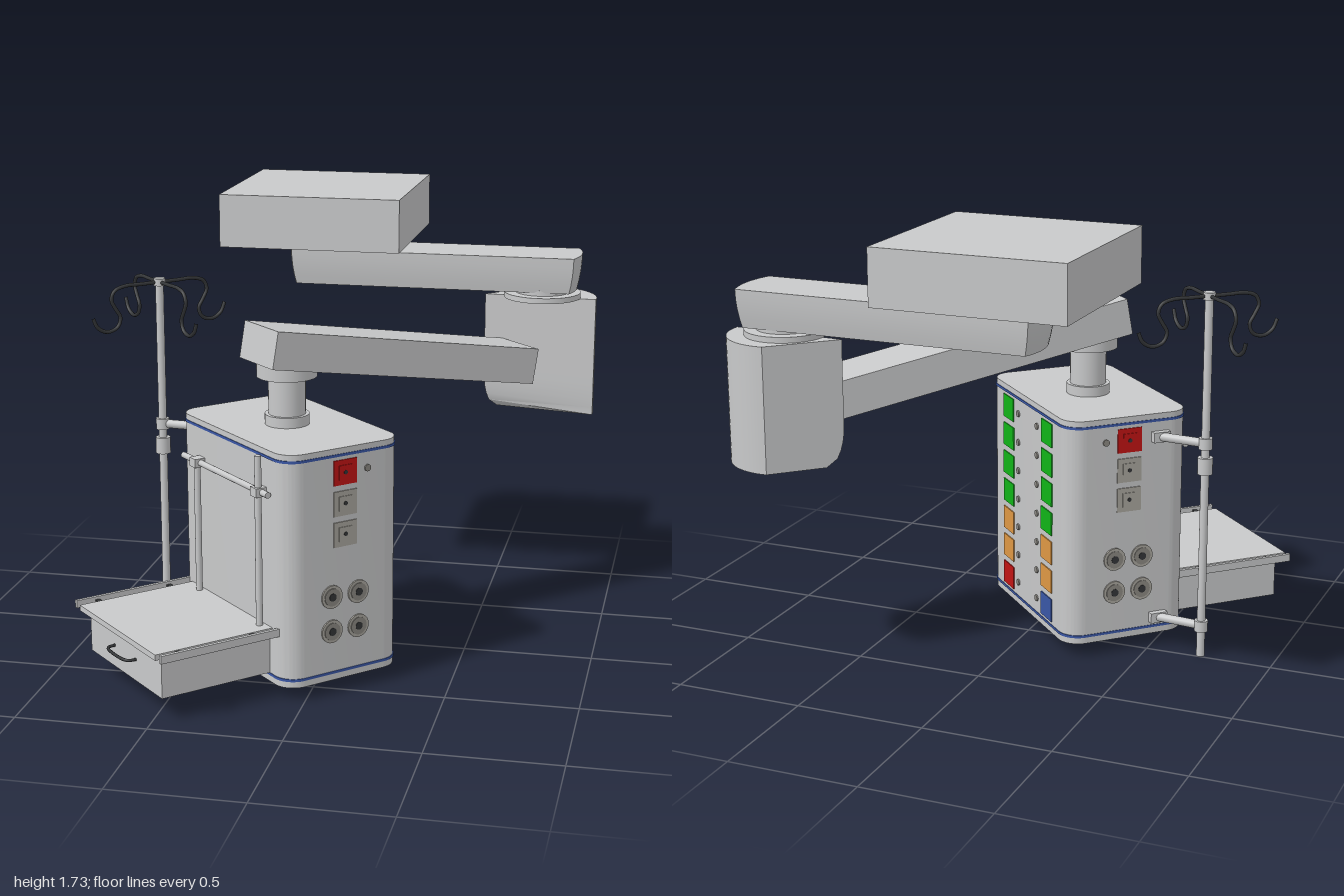
import * as THREE from 'three';
import { toCreasedNormals } from 'three/addons/utils/BufferGeometryUtils.js';

const mat = (name, color) => {
  const m = new THREE.MeshStandardMaterial({ color });
  m.name = name;
  return m;
};

export function createModel() {
  const grey = mat('body grey', 0xc8c9ca);
  const outletGrey = mat('outlet grey', 0xaaa79f);
  const gaugeGrey = mat('gauge grey', 0x8c8983);
  const dark = mat('dark grey', 0x343638);
  const blue = mat('blue', 0x3a57a6);
  const red = mat('red', 0xc21414);
  const green = mat('green', 0x10b418);
  const orange = mat('orange', 0xdf9844);

  const model = new THREE.Group();
  model.name = 'ceilingSupplyPendant';
  // Cabinet, lower arm and tray share a frame turned 45 degrees
  const turned = new THREE.Group();
  turned.name = 'turnedAssembly';
  turned.rotation.y = Math.PI / 4;
  model.add(turned);

  const V = (x, y, z) => new THREE.Vector3(x, y, z);
  const add = (parent, name, geo, material, x = 0, y = 0, z = 0) => {
    const m = new THREE.Mesh(geo, material);
    m.name = name;
    m.position.set(x, y, z);
    parent.add(m);
    return m;
  };
  const box = (parent, name, material, w, h, d, x, y, z) =>
    add(parent, name, new THREE.BoxGeometry(w, h, d), material, x, y, z);
  const disc = (parent, name, material, r, y0, y1, x, z, seg = 32) =>
    add(parent, name, new THREE.CylinderGeometry(r, r, y1 - y0, seg), material, x, (y0 + y1) / 2, z);
  const rod = (parent, name, material, a, b, r) => {
    const m = add(parent, name, new THREE.CylinderGeometry(r, r, a.distanceTo(b), 14), material);
    m.position.copy(a).add(b).multiplyScalar(0.5);
    m.quaternion.setFromUnitVectors(V(0, 1, 0), b.clone().sub(a).normalize());
    return m;
  };
  // Upright prism over a plan outline
  const prism = (shape, h, steps = 1, rule) => {
    const g = new THREE.ExtrudeGeometry(shape, { depth: h, steps, bevelEnabled: false, curveSegments: 10 });
    g.rotateX(-Math.PI / 2);
    if (rule) {
      const p = g.attributes.position, v = V(0, 0, 0);
      for (let i = 0; i < p.count; i++) {
        rule(v.fromBufferAttribute(p, i));
        p.setXYZ(i, v.x, v.y, v.z);
      }
    }
    return toCreasedNormals(g, 0.55);
  };
  const roundRect = (w, d, r) => {
    const s = new THREE.Shape(), a = w / 2 - r, b = d / 2 - r;
    s.absarc(a, b, r, 0, Math.PI / 2);
    s.absarc(-a, b, r, Math.PI / 2, Math.PI);
    s.absarc(-a, -b, r, Math.PI, Math.PI * 1.5);
    s.absarc(a, -b, r, Math.PI * 1.5, Math.PI * 2);
    s.closePath();
    return s;
  };

  // Ceiling mount and its neck
  box(model, 'ceilingBox', grey, 0.725, 0.21, 0.725, -0.187, 1.625, -0.637);
  disc(model, 'ceilingNeck', grey, 0.105, 1.495, 1.52, -0.187, -0.635);
  disc(model, 'ceilingNeckRing', grey, 0.085, 1.47, 1.5, -0.187, -0.635);

  // Upper arm: bowed ends, narrowing towards the underside
  const plan = new THREE.Shape();
  plan.moveTo(-0.575, -0.125);
  plan.lineTo(0.575, -0.125);
  plan.quadraticCurveTo(0.62, 0, 0.575, 0.125);
  plan.lineTo(-0.575, 0.125);
  plan.quadraticCurveTo(-0.62, 0, -0.575, -0.125);
  add(model, 'upperArm', prism(plan, 0.145, 4, (v) => {
    const t = Math.pow(1 - v.y / 0.145, 2);
    v.z *= 1 - 0.12 * t;
    v.x *= 1 - 0.03 * t;
  }), grey, 0.263, 1.335, -0.635);

  // Elbow column: flat towards the arm, round behind, softened lower edge
  const cu = 0.945, cv = 0.05;
  const half = Math.asin(0.17 / 0.22);
  const foot = new THREE.Shape();
  foot.moveTo(-0.16, -0.17);
  foot.absarc(0, 0, 0.22, -half, half);
  foot.lineTo(-0.16, 0.17);
  foot.closePath();
  add(turned, 'elbowColumn', prism(foot, 0.48, 16, (v) => {
    const k = Math.max(0, (0.15 - v.y) / 0.15);
    v.x = Math.max(v.x, -0.16 + 0.07 * (1 - Math.sqrt(1 - k * k)));
  }), grey, cu, 0.82, cv);
  disc(turned, 'elbowFlange', grey, 0.155, 1.3, 1.322, cu, cv);
  disc(turned, 'elbowNeck', grey, 0.11, 1.32, 1.345, cu, cv);

  // Sloping lower arm
  const slope = Math.atan(0.181);
  const arm = box(turned, 'lowerArm', grey, 1.24, 0.143, 0.24, 0.214, 1.158, cv);
  arm.rotation.z = -slope;

  // Cabinet with top and bottom stripes
  const cab = { u: -0.274, v: 0.055, w: 0.51, d: 0.786 };
  const slab = (name, m, grow, y0, y1) =>
    add(turned, name, prism(roundRect(cab.w + grow, cab.d + grow, 0.08), y1 - y0), m, cab.u, y0, cab.v);
  slab('cabinetBody', grey, 0, 0.055, 0.95);
  slab('lowerStripe', blue, 0.005, 0.08, 0.09);
  slab('upperStripe', blue, 0.005, 0.918, 0.928);

  // Post between cabinet and lower arm
  disc(turned, 'postBase', grey, 0.085, 0.95, 0.99, cab.u, cv);
  disc(turned, 'post', grey, 0.071, 0.99, 1.15, cab.u, cv);
  disc(turned, 'postCollar', grey, 0.115, 1.135, 1.19, cab.u, cv);

  // End panels: switch, sockets and gas outlets on both short sides
  for (const s of [1, -1]) {
    const panel = new THREE.Group();
    panel.name = s > 0 ? 'frontPanel' : 'rearPanel';
    panel.position.set(cab.u, 0, cab.v + s * cab.d / 2);
    turned.add(panel);
    const knob = (name, m, r, len, x, y) => {
      const k = add(panel, name, new THREE.CylinderGeometry(r, r, len, 24), m, x, y, 0);
      k.rotation.x = Math.PI / 2;
    };
    [red, outletGrey, outletGrey].forEach((m, i) => {
      const y = 0.857 - i * 0.118;
      box(panel, 'socketFrame', m, 0.1, 0.095, 0.008, 0, y, 0);
      box(panel, 'socketInset', m, 0.056, 0.055, 0.014, 0, y, 0);
      knob('socketHole', dark, 0.008, 0.017, 0, y);
    });
    knob('indicator', gaugeGrey, 0.013, 0.012, 0.098, 0.857);
    for (const x of [-0.058, 0.058]) for (const y of [0.25, 0.385]) {
      knob('gasOutletRing', outletGrey, 0.045, 0.012, x, y);
      knob('gasOutletFace', gaugeGrey, 0.034, 0.018, x, y);
      knob('gasOutletCore', dark, 0.015, 0.022, x, y);
    }
  }

  // Back panel: two columns of coloured sockets with indicators
  const backU = cab.u + cab.w / 2;
  for (const s of [1, -1]) for (let i = 0; i < 7; i++) {
    const y = 0.86 - i * 0.1185;
    const m = i < 4 ? green : i < 6 ? orange : s > 0 ? red : blue;
    box(turned, 'backSocket', m, 0.009, 0.093, 0.104, backU, y, cab.v + s * 0.194);
    const dot = add(turned, 'backIndicator', new THREE.CylinderGeometry(0.013, 0.013, 0.012, 16),
      gaugeGrey, backU, y, cab.v + s * 0.095);
    dot.rotation.z = Math.PI / 2;
  }

  // Rail frame on the tray side
  const ru = -0.548;
  rod(turned, 'crossRail', grey, V(ru, 0.79, -0.27), V(ru, 0.79, 0.36), 0.012);
  for (const [v, top] of [[-0.157, 0.8], [0.296, 0.925]]) {
    rod(turned, 'uprightRail', grey, V(ru - 0.004, 0.26, v), V(ru - 0.004, top, v), 0.013);
    box(turned, 'railClamp', grey, 0.05, 0.034, 0.045, ru, 0.79, v);
  }

  // Tray with drawer, side rails and handle
  const tv = 0.048;
  box(turned, 'trayTop', grey, 0.49, 0.022, 0.605, -0.773, 0.262, tv);
  box(turned, 'drawer', grey, 0.455, 0.165, 0.566, -0.756, 0.1725, tv);
  for (const s of [1, -1]) {
    box(turned, 'trayRail', grey, 0.5, 0.03, 0.014, -0.767, 0.266, tv + s * 0.338);
    for (const u of [-0.93, -0.62])
      box(turned, 'trayRailSpacer', dark, 0.018, 0.012, 0.04, u, 0.264, tv + s * 0.317);
  }
  const grip = new THREE.CatmullRomCurve3([
    V(-0.98, 0.175, tv - 0.085), V(-1.01, 0.175, tv - 0.08), V(-1.022, 0.175, tv - 0.06),
    V(-1.022, 0.175, tv + 0.06), V(-1.01, 0.175, tv + 0.08), V(-0.98, 0.175, tv + 0.085)]);
  add(turned, 'drawerHandle', new THREE.TubeGeometry(grip, 24, 0.006, 8), dark);

  // Infusion pole with brackets and four hooks
  const px = -0.715, pz = 0.015;
  disc(model, 'infusionPole', grey, 0.016, 0, 1.43, px, pz, 20);
  disc(model, 'poleCap', grey, 0.023, 1.415, 1.443, px, pz, 20);
  disc(model, 'poleCollar', grey, 0.029, 0.74, 0.805, px, pz, 20);
  for (const y of [0.86, 0.125]) {
    rod(model, 'poleBracket', grey, V(px, y, pz), V(-0.53, y, 0.035), 0.017);
    disc(model, 'bracketSleeve', grey, 0.026, y - 0.022, y + 0.022, px, pz, 20);
    const plate = box(model, 'bracketPlate', grey, 0.07, 0.04, 0.03, -0.53, y, 0.038);
    plate.rotation.y = Math.PI / 4;
  }
  const hook = new THREE.CatmullRomCurve3([
    [0, 1.428], [0.08, 1.428], [0.15, 1.428], [0.195, 1.413], [0.209, 1.38], [0.19, 1.34],
    [0.172, 1.307], [0.187, 1.27], [0.23, 1.257], [0.27, 1.278], [0.289, 1.317],
  ].map(([r, y]) => V(r, y, 0)));
  const hookGeo = new THREE.TubeGeometry(hook, 48, 0.0075, 8);
  for (let i = 0; i < 4; i++) {
    const h = add(model, 'infusionHook', hookGeo, dark, px, 0, pz);
    h.rotation.y = Math.PI / 4 + i * Math.PI / 2;
  }
  return model;
}
